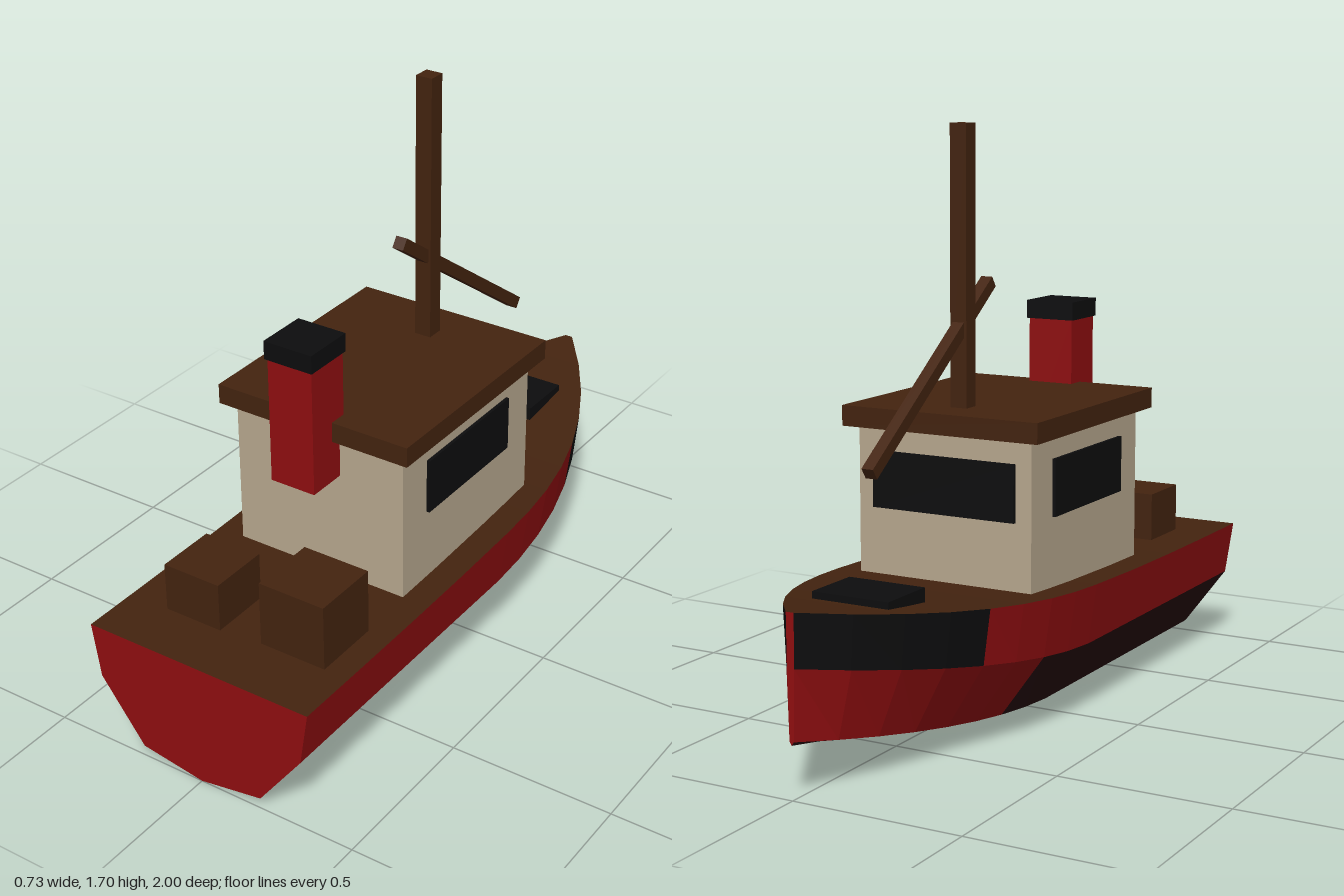
import * as THREE from 'three';

const paint = (name, color) => {
  const m = new THREE.MeshStandardMaterial({ color });
  m.name = name;
  m.flatShading = true;
  return m;
};

export function createModel() {
  const boat = new THREE.Group();
  boat.name = 'boat';
  const red = paint('hullRed', 0x8f0e10);
  const dark = paint('bottomDarkRed', 0x270a0d);
  const wood = paint('darkWood', 0x43230f);
  const black = paint('black', 0x0d0d0e);
  const cream = paint('cabinCream', 0xb7a78e);

  // Box from its limits: x0, x1, y0, y1, z0, z1
  function box(name, mat, x0, x1, y0, y1, z0, z1) {
    const mesh = new THREE.Mesh(new THREE.BoxGeometry(x1 - x0, y1 - y0, z1 - z0), mat);
    mesh.position.set((x0 + x1) / 2, (y0 + y1) / 2, (z0 + z1) / 2);
    mesh.name = name;
    boat.add(mesh);
    return mesh;
  }

  // Half cross-section of the hull, sheer to keel; the bow is at z = -1
  function section(z) {
    const t = Math.max(0, -z);
    const w = 0.012 + 0.353 * (1 - t ** 2.4);
    const rise = t ** 1.35;
    return [
      [w, 0.383 + 0.117 * ((1 - z) / 2) ** 3, z],
      [w * 0.93, 0.22 + 0.133 * rise, z],
      [w * 0.55, 0.035 + 0.125 * rise, z],
      [0, 0.003 + 0.147 * rise, z],
    ];
  }
  const mirror = ([x, y, z]) => [-x, y, z];

  // Convex polygons collected per named hull part
  const parts = {
    topsides: [red, []], bowBand: [black, []], bowSides: [red, []],
    bottom: [dark, []], deck: [wood, []], transomAndStem: [red, []],
  };
  function face(part, pts) {
    for (let i = 1; i < pts.length - 1; i++) {
      parts[part][1].push(...pts[0], ...pts[i], ...pts[i + 1]);
    }
  }

  const stations = [1, 0.75, 0.5, 0.25];
  for (let i = 0; i <= 8; i++) stations.push(-i / 8);
  for (let i = 0; i < stations.length - 1; i++) {
    const a = section(stations[i]);
    const b = section(stations[i + 1]);
    const mid = (stations[i] + stations[i + 1]) / 2;
    const names = [
      mid < -0.5 ? 'bowBand' : 'topsides',
      mid < -0.25 ? 'bowSides' : 'bottom',
      'bottom',
    ];
    names.forEach((part, k) => {
      const quad = [a[k], a[k + 1], b[k + 1], b[k]];
      face(part, quad);
      face(part, quad.map(mirror).reverse());
    });
    face('deck', [mirror(a[0]), a[0], b[0], mirror(b[0])]);
  }

  // Flat ends: stern transom and narrow stem
  const outline = (z) => {
    const s = section(z);
    return [...s.slice(0, 3).map(mirror), s[3], s[2], s[1], s[0]];
  };
  face('transomAndStem', outline(1));
  face('transomAndStem', outline(-1).reverse());

  for (const [name, [mat, points]] of Object.entries(parts)) {
    const geo = new THREE.BufferGeometry();
    geo.setAttribute('position', new THREE.Float32BufferAttribute(points, 3));
    geo.computeVertexNormals();
    const mesh = new THREE.Mesh(geo, mat);
    mesh.name = name;
    boat.add(mesh);
  }

  // Cabin, roof and windows
  box('cabin', cream, -0.28, 0.28, 0.36, 0.84, -0.238, 0.425);
  box('cabinRoof', wood, -0.316, 0.316, 0.84, 0.9, -0.273, 0.46);
  for (const s of [-1, 1]) {
    const pane = box('sideWindow', black, -0.0048, 0.0048, 0.607, 0.773, -0.115, 0.307);
    pane.position.x = s * 0.2855;
  }
  box('bowWindow', black, -0.23, 0.23, 0.607, 0.773, -0.248, -0.2385);

  // Funnel with its cap
  box('funnel', red, -0.072, 0.072, 0.715, 1.1, 0.404, 0.548);
  box('funnelCap', black, -0.078, 0.078, 1.095, 1.15, 0.398, 0.555);

  // Mast and slanted boom
  box('mast', wood, -0.026, 0.026, 0.88, 1.7, -0.155, -0.102);
  const boom = box('boom', wood, -0.018, 0.018, -0.018, 0.018, -0.394, 0.394);
  boom.position.set(0, 1.017, -0.303);
  boom.rotation.x = -Math.atan2(0.455, 0.642);

  // Deck gear
  box('smallCrate', wood, -0.237, -0.052, 0.36, 0.53, 0.642, 0.827);
  box('largeCrate', wood, 0.077, 0.287, 0.36, 0.58, 0.605, 0.813);
  box('foreHatch', black, -0.12, 0.12, 0.43, 0.478, -0.725, -0.542);

  return boat;
}
